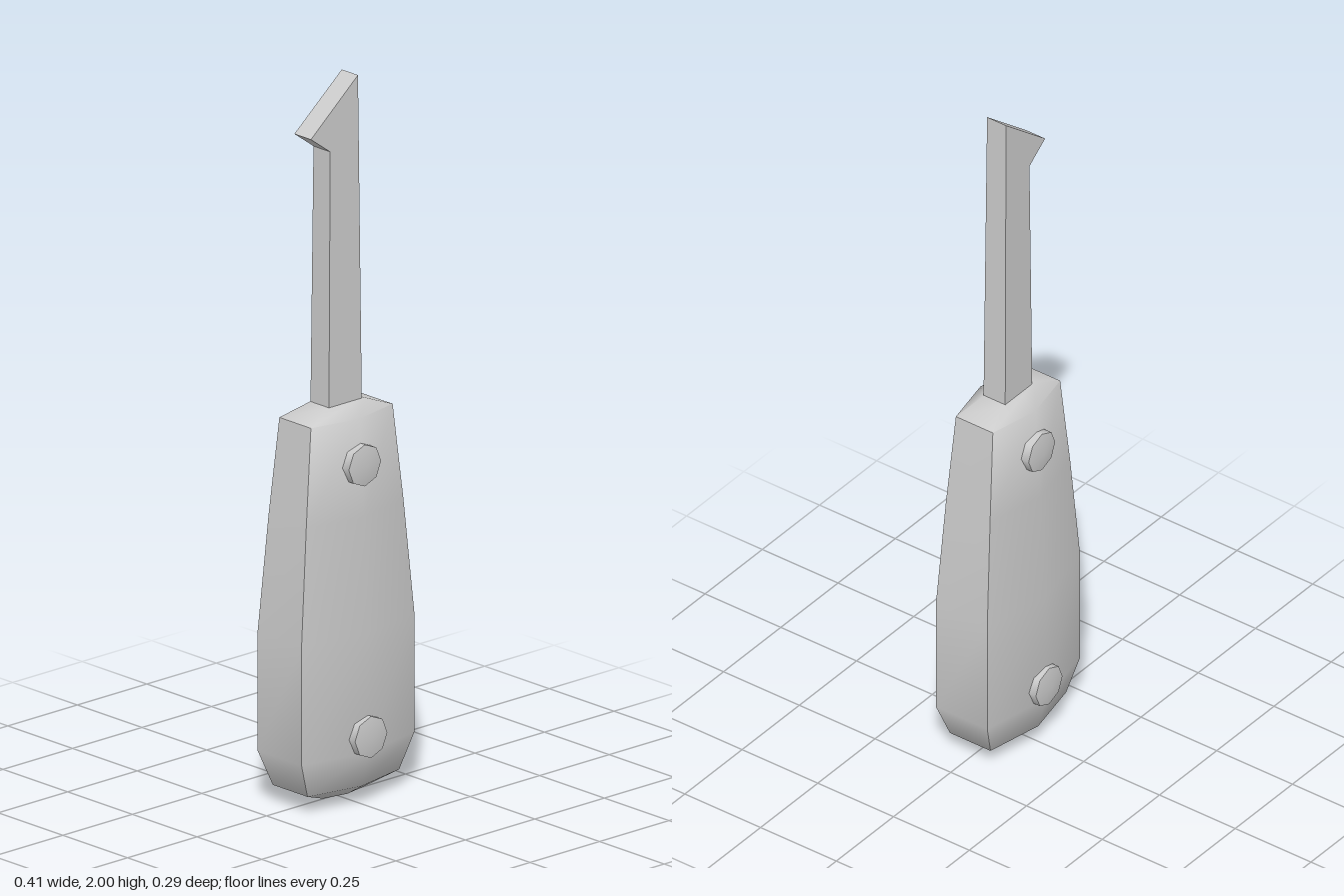
import * as THREE from 'three';
import { toCreasedNormals } from 'three/addons/utils/BufferGeometryUtils.js';

const material = new THREE.MeshStandardMaterial({ color: 0xcccccc });

function addMesh(parent, name, geometry) {
  const mesh = new THREE.Mesh(geometry, material);
  mesh.name = name;
  parent.add(mesh);
  return mesh;
}

// Six-sided loft. Each level: [y, half width, corner depth, middle depth]
function loftHandle(levels) {
  const positions = [];
  const index = [];
  for (const [y, w, c, m] of levels) {
    positions.push(w, y, -c, w, y, c, 0, y, m, -w, y, c, -w, y, -c, 0, y, -m);
  }
  const last = levels.length - 1;
  const bottom = levels.length * 6;
  const top = bottom + 1;
  positions.push(0, 0, 0, 0, levels[last][0], 0);
  for (let j = 0; j < 6; j++) {
    const k = (j + 1) % 6;
    for (let i = 0; i < last; i++) {
      const a = i * 6 + j, b = i * 6 + k;
      index.push(a, a + 6, b, b, a + 6, b + 6);
    }
    index.push(bottom, j, k, top, last * 6 + k, last * 6 + j);
  }
  const geometry = new THREE.BufferGeometry();
  geometry.setAttribute('position', new THREE.Float32BufferAttribute(positions, 3));
  geometry.setIndex(index);
  return toCreasedNormals(geometry, 1.05);
}

// Hooked outline with thickness, slightly thinner towards the tip
function hookedBlade() {
  const outline = [[-0.059, 1.05], [0.06, 1.05], [0.05, 2], [-0.12, 1.86], [-0.051, 1.81]];
  const shape = new THREE.Shape(outline.map(([x, y]) => new THREE.Vector2(x, y)));
  const geometry = new THREE.ExtrudeGeometry(shape, { depth: 2, bevelEnabled: false });
  const p = geometry.attributes.position;
  for (let i = 0; i < p.count; i++) {
    const half = 0.036 - 0.005 * (p.getY(i) - 1.05);
    p.setZ(i, (p.getZ(i) - 1) * half);
  }
  geometry.computeVertexNormals();
  return geometry;
}

// Eight-sided rivet with a shallow pointed head, axis along +z
function rivetGeometry() {
  const profile = [[0.058, -0.05], [0.058, -0.01], [0, 0]];
  const geometry = new THREE.LatheGeometry(profile.map(([r, h]) => new THREE.Vector2(r, h)), 8);
  geometry.rotateX(Math.PI / 2);
  return toCreasedNormals(geometry, 0.9);
}

export function createModel() {
  const model = new THREE.Group();
  model.name = 'hookKnife';

  addMesh(model, 'handle', loftHandle([
    [0.015, 0.075, 0.03, 0.045],
    [0.05, 0.165, 0.067, 0.1],
    [0.15, 0.203, 0.085, 0.124],
    [0.48, 0.203, 0.085, 0.124],
    [0.8, 0.175, 0.073, 0.108],
    [1.07, 0.147, 0.061, 0.091],
    [1.1, 0.068, 0.034, 0.05],
  ]));

  addMesh(model, 'blade', hookedBlade());

  // Two rivets on each face of the handle: [y, head depth]
  const rivet = rivetGeometry();
  for (const [y, z] of [[0.945, 0.122], [0.195, 0.146]]) {
    for (const side of [1, -1]) {
      const mesh = addMesh(model, side > 0 ? 'frontRivet' : 'backRivet', rivet);
      mesh.position.set(0, y, z * side);
      if (side < 0) mesh.rotation.y = Math.PI;
    }
  }
  return model;
}
